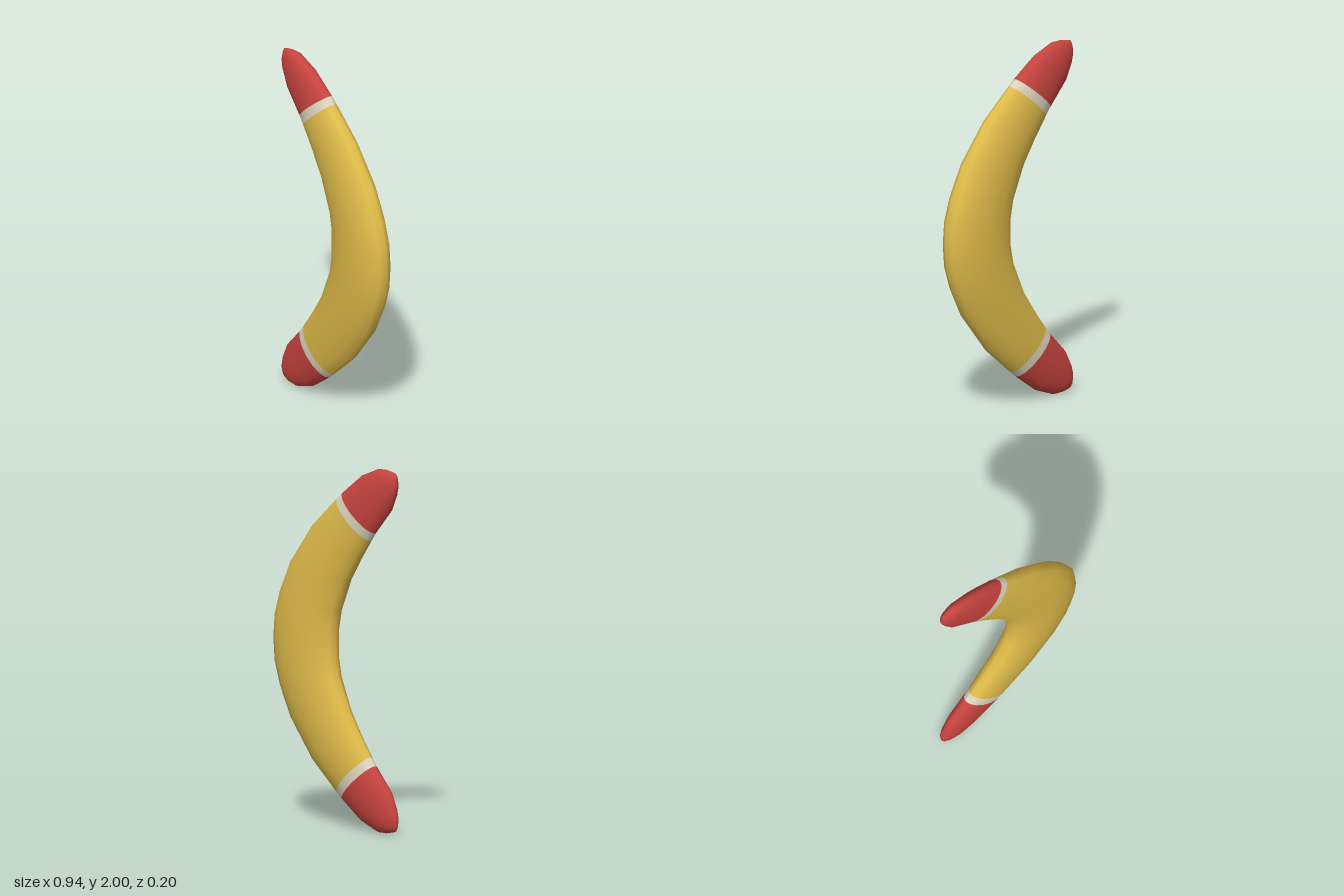
import * as THREE from 'three';
import { mergeVertices } from 'three/addons/utils/BufferGeometryUtils.js';

const SIDES = 16;

// Upper arm from tip to elbow: inner edge x, y, outer edge x, y, half thickness
const ARM = [
  [-0.473, 1.95, -0.445, 1.99, 0.013],
  [-0.475, 1.91, -0.39, 2.0, 0.03],
  [-0.462, 1.86, -0.33, 2.0, 0.042],
  [-0.42, 1.77, -0.2, 1.95, 0.055],
  [-0.3, 1.64, -0.055, 1.845, 0.066], // tip meets band
  [-0.265, 1.595, -0.015, 1.812, 0.069], // band meets body
  [-0.18, 1.48, 0.17, 1.65, 0.08],
  [-0.1, 1.36, 0.34, 1.43, 0.09],
  [-0.02, 1.18, 0.42, 1.26, 0.097],
  [0, 1.08, 0.46, 1.13, 0.099],
];
const ELBOW = [0, 1, 0.47, 1, 0.1];
const BAND_START = 4, BAND_END = 5;

// The lower arm mirrors the upper one about y = 1
const mirrored = ARM.map(([ix, iy, ox, oy, t]) => [ix, 2 - iy, ox, 2 - oy, t]).reverse();
const STATIONS = [...ARM, ELBOW, ...mirrored];
const LAST = STATIONS.length - 1;

// Elliptical rings at every station, followed by the two tip points
function sweepVertices() {
  const points = [];
  for (const [ix, iy, ox, oy, t] of STATIONS) {
    for (let j = 0; j < SIDES; j++) {
      const a = (j / SIDES) * Math.PI * 2;
      const f = (1 + Math.cos(a)) / 2;
      points.push(ix + (ox - ix) * f, iy + (oy - iy) * f, t * Math.sin(a));
    }
  }
  points.push(-0.466, 1.982, 0, -0.466, 0.018, 0);
  return points;
}

// Faces between two stations, closed at the ends of the sweep
function sectionIndex(from, to) {
  const index = [];
  const topTip = STATIONS.length * SIDES;
  for (let j = 0; j < SIDES; j++) {
    const k = (j + 1) % SIDES;
    for (let i = from; i < to; i++) {
      const a = i * SIDES + j, b = i * SIDES + k;
      index.push(a, b, a + SIDES, b, b + SIDES, a + SIDES);
    }
    if (from === 0) index.push(topTip, k, j);
    if (to === LAST) index.push(topTip + 1, LAST * SIDES + j, LAST * SIDES + k);
  }
  return index;
}

export function createModel() {
  const yellow = new THREE.MeshStandardMaterial({ name: 'yellow', color: 0xe0bc4a });
  const cream = new THREE.MeshStandardMaterial({ name: 'cream', color: 0xddd5bf });
  const red = new THREE.MeshStandardMaterial({ name: 'red', color: 0xc8443f });

  // The whole sweep gives smooth normals that run across the colour joins
  const sweep = new THREE.BufferGeometry();
  sweep.setAttribute('position', new THREE.Float32BufferAttribute(sweepVertices(), 3));
  sweep.setIndex(sectionIndex(0, LAST));
  sweep.computeVertexNormals();

  const group = new THREE.Group();
  group.name = 'boomerang';
  const addSection = (name, from, to, material) => {
    const part = sweep.clone().setIndex(sectionIndex(from, to)).toNonIndexed();
    const mesh = new THREE.Mesh(mergeVertices(part), material);
    mesh.name = name;
    group.add(mesh);
  };

  addSection('upperTip', 0, BAND_START, red);
  addSection('upperBand', BAND_START, BAND_END, cream);
  addSection('body', BAND_END, LAST - BAND_END, yellow);
  addSection('lowerBand', LAST - BAND_END, LAST - BAND_START, cream);
  addSection('lowerTip', LAST - BAND_START, LAST, red);
  return group;
}
